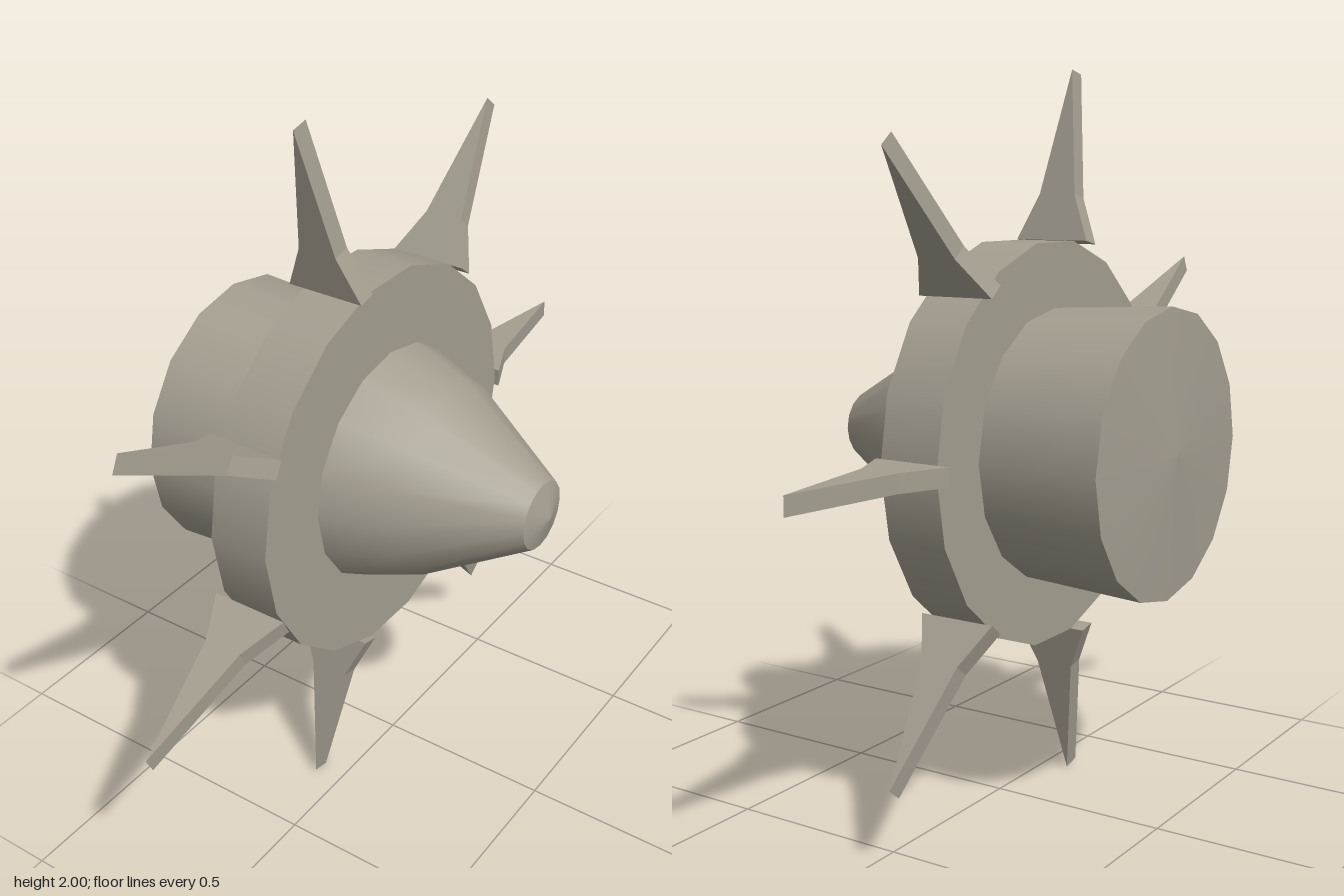
import * as THREE from 'three';

const material = new THREE.MeshStandardMaterial({ color: 0xa49e90 });

// Turned part along the x axis: each strip of [x, radius] points is smooth,
// with a sharp edge between one strip and the next.
function turned(name, sides, strips) {
  const part = new THREE.Group();
  part.name = name;
  for (const strip of strips) {
    const points = strip.map(([x, r]) => new THREE.Vector2(r, x));
    const mesh = new THREE.Mesh(new THREE.LatheGeometry(points, sides), material);
    mesh.name = name + 'Surface';
    mesh.rotation.z = -Math.PI / 2;
    part.add(mesh);
  }
  return part;
}

export function createModel() {
  const model = new THREE.Group();
  model.name = 'finnedRotor';

  const rotor = new THREE.Group();
  rotor.name = 'rotor';
  rotor.position.set(0, 1, 0.045);
  model.add(rotor);

  // Rear drum with a slightly domed end
  rotor.add(turned('rearDrum', 16, [
    [[-0.516, 0], [-0.494, 0.386]],
    [[-0.494, 0.386], [-0.147, 0.367]],
  ]));

  // Wide flat disc
  rotor.add(turned('disc', 18, [
    [[-0.147, 0], [-0.147, 0.549]],
    [[-0.147, 0.549], [0.023, 0.549]],
    [[0.023, 0.549], [0.023, 0]],
  ]));

  // Tapered nose with a shallow pointed cap
  rotor.add(turned('noseCone', 16, [
    [[0.023, 0.331], [0.2, 0.267], [0.49, 0.095]],
    [[0.49, 0.095], [0.516, 0]],
  ]));

  // Seven flared spikes around the rim
  const outline = new THREE.Shape([
    [-0.11, 0.55], [0.11, 0.55], [0.055, 0.676], [0, 1.02], [-0.055, 0.676],
  ].map(([x, y]) => new THREE.Vector2(x, y)));
  const finGeometry = new THREE.ExtrudeGeometry(outline, { depth: 0.05, bevelEnabled: false });
  finGeometry.translate(-0.074, 0, -0.025);
  for (let i = 0; i < 7; i++) {
    const fin = new THREE.Mesh(finGeometry, material);
    fin.name = 'fin' + (i + 1);
    fin.rotation.x = -Math.PI / 2 + (i * Math.PI * 2) / 7;
    rotor.add(fin);
  }

  return model;
}
